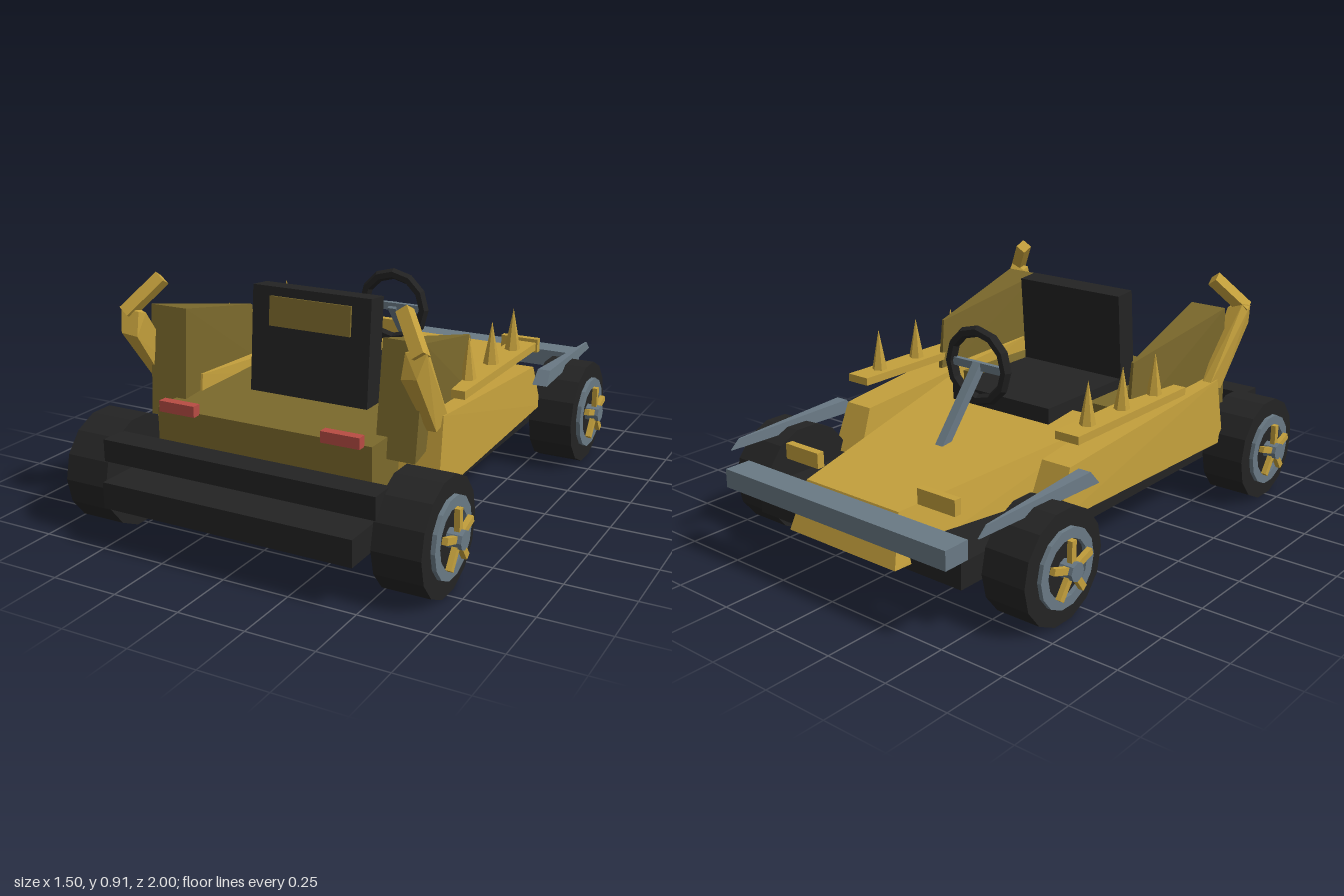
import * as THREE from 'three';
import { ConvexGeometry } from 'three/addons/geometries/ConvexGeometry.js';

const mat = (name, color) => {
  const m = new THREE.MeshStandardMaterial({ color, flatShading: true });
  m.name = name;
  return m;
};

export function createModel() {
  const gold = mat('gold', 0xc4a03c);
  const olive = mat('olive', 0x7b692c);
  const black = mat('black', 0x232323);
  const steel = mat('steel', 0x697984);
  const red = mat('red', 0xb84c43);

  const car = new THREE.Group();
  car.name = 'kart';

  const add = (name, geo, material, parent = car) => {
    const m = new THREE.Mesh(geo, material);
    m.name = name;
    parent.add(m);
    return m;
  };
  // Box given by its min and max on each axis
  const box = (name, material, x0, x1, y0, y1, z0, z1) => {
    const m = add(name, new THREE.BoxGeometry(Math.abs(x1 - x0), y1 - y0, z1 - z0), material);
    m.position.set((x0 + x1) / 2, (y0 + y1) / 2, (z0 + z1) / 2);
    return m;
  };
  // Faceted solid around corner points, with x mirrored by s
  const solid = (name, material, pts, s = 1) =>
    add(name, new ConvexGeometry(pts.map(([x, y, z]) => new THREE.Vector3(x * s, y, z))), material);
  // Square bar between two points, w0 wide at the start and w1 at the end
  const bar = (name, material, a, b, w0, w1 = w0) => {
    const p = new THREE.Vector3(...a), q = new THREE.Vector3(...b);
    const geo = new THREE.CylinderGeometry(w1 * Math.SQRT1_2, w0 * Math.SQRT1_2, p.distanceTo(q), 4);
    geo.rotateY(Math.PI / 4);
    const m = add(name, geo, material);
    m.position.copy(p).add(q).multiplyScalar(0.5);
    m.quaternion.setFromUnitVectors(new THREE.Vector3(0, 1, 0), q.sub(p).normalize());
    return m;
  };

  // Chassis and bumpers
  box('floorPan', black, -0.485, 0.485, 0.16, 0.255, -0.885, 1.0);
  box('rearBumper', black, -0.53, 0.53, 0.3, 0.38, 0.83, 0.93);
  box('frontBumper', steel, -0.525, 0.525, 0.285, 0.355, -1.0, -0.895);
  box('rearDeck', olive, -0.425, 0.425, 0.27, 0.465, 0.14, 0.755);

  // Tapered nose
  const nose = [];
  for (const s of [-1, 1]) {
    nose.push([0.22 * s, 0.36, -0.89], [0.255 * s, 0.18, -0.95],
      [0.4 * s, 0.46, 0.04], [0.45 * s, 0.265, 0.09]);
  }
  solid('nose', gold, nose);

  // Seat
  box('seatCushion', black, -0.235, 0.235, 0.4, 0.505, -0.11, 0.36);
  const seatBack = new THREE.Group();
  seatBack.name = 'seatBack';
  seatBack.position.set(0, 0.655, 0.382);
  seatBack.rotation.x = -0.09;
  car.add(seatBack);
  add('backrest', new THREE.BoxGeometry(0.48, 0.39, 0.09), black, seatBack);
  add('backrestPanel', new THREE.BoxGeometry(0.33, 0.108, 0.009), olive, seatBack)
    .position.set(0, 0.108, 0.049);

  // Steering
  add('steeringWheel', new THREE.TorusGeometry(0.132, 0.022, 6, 12), black).position.set(0, 0.655, -0.23);
  box('steeringCrossbar', steel, -0.12, 0.12, 0.64, 0.67, -0.24, -0.22);
  bar('steeringColumn', steel, [0, 0.66, -0.225], [0, 0.37, -0.46], 0.036);

  for (const s of [-1, 1]) {
    // Side pod
    solid('sidePod', gold, [
      [0.41, 0.26, -0.455], [0.55, 0.26, -0.455], [0.42, 0.438, -0.385], [0.54, 0.438, -0.385],
      [0.38, 0.26, 0.58], [0.58, 0.26, 0.58], [0.39, 0.525, 0.53], [0.572, 0.525, 0.53],
    ], s);

    // Rear fin, wedge shaped in plan
    solid('rearFin', olive, [
      [0.46, 0.68, 0.09], [0.47, 0.68, 0.09], [0.455, 0.45, 0.065], [0.475, 0.45, 0.065],
      [0.39, 0.79, 0.615], [0.54, 0.79, 0.615], [0.382, 0.39, 0.655], [0.53, 0.39, 0.655],
    ], s);

    // Bent horn behind the fin
    solid('hornBase', gold, [
      [0.53, 0.5, 0.475], [0.565, 0.5, 0.475], [0.53, 0.48, 0.57], [0.565, 0.48, 0.57],
      [0.515, 0.775, 0.68], [0.58, 0.8, 0.68], [0.515, 0.7, 0.735], [0.575, 0.71, 0.745],
      [0.595, 0.79, 0.715], [0.52, 0.785, 0.715],
    ], s);
    bar('hornTip', gold, [0.575 * s, 0.775, 0.715], [0.475 * s, 0.895, 0.63], 0.045);

    // Spiked rail
    box('spikeRail', gold, s * 0.455, s * 0.555, 0.515, 0.545, -0.36, 0.32);
    for (const z of [-0.24, -0.03, 0.18]) {
      add('spike', new THREE.ConeGeometry(0.032, 0.17, 6), gold).position.set(0.505 * s, 0.62, z);
    }

    // Blade above the front wheel
    solid('frontBlade', steel, [
      [0.56, 0.385, -0.325], [0.62, 0.385, -0.325], [0.565, 0.437, -0.37], [0.615, 0.437, -0.37],
      [0.587, 0.42, -0.88], [0.593, 0.42, -0.88], [0.587, 0.385, -0.92], [0.593, 0.385, -0.92],
    ], s);

    // Lamps
    box('headlamp', gold, s * 0.24, s * 0.405, 0.37, 0.428, -0.82, -0.79);
    box('tailLamp', red, s * 0.25, s * 0.395, 0.46, 0.5, 0.75, 0.785);

    // Wheels, built along +x and turned round for the other side
    for (const [end, z] of [['front', -0.62], ['rear', 0.74]]) {
      const wheel = new THREE.Group();
      wheel.name = end + 'Wheel';
      wheel.position.set(0, 0.205, z);
      if (s < 0) wheel.rotation.y = Math.PI;
      car.add(wheel);

      const disc = (name, r, x0, x1, n, m) => {
        const geo = new THREE.CylinderGeometry(r, r, x1 - x0, n);
        geo.rotateZ(Math.PI / 2);
        add(name, geo, m, wheel).position.x = (x0 + x1) / 2;
      };
      disc('tyre', 0.206, 0.52, 0.695, 14, black);
      disc('axle', 0.026, 0.44, 0.53, 8, steel);
      disc('hub', 0.034, 0.69, 0.75, 8, steel);

      const ring = new THREE.Shape().absarc(0, 0, 0.142, 0, Math.PI * 2);
      ring.holes.push(new THREE.Path().absarc(0, 0, 0.104, 0, Math.PI * 2));
      const rim = new THREE.ExtrudeGeometry(ring, { depth: 0.02, bevelEnabled: false, curveSegments: 7 });
      rim.rotateY(Math.PI / 2);
      add('rim', rim, steel, wheel).position.x = 0.691;

      for (let i = 0; i < 5; i++) {
        const geo = new THREE.BoxGeometry(0.02, 0.085, 0.024);
        geo.translate(0.725, 0.064, 0);
        geo.rotateX(i * Math.PI * 2 / 5);
        add('spoke', geo, gold, wheel);
      }
    }
  }
  return car;
}
